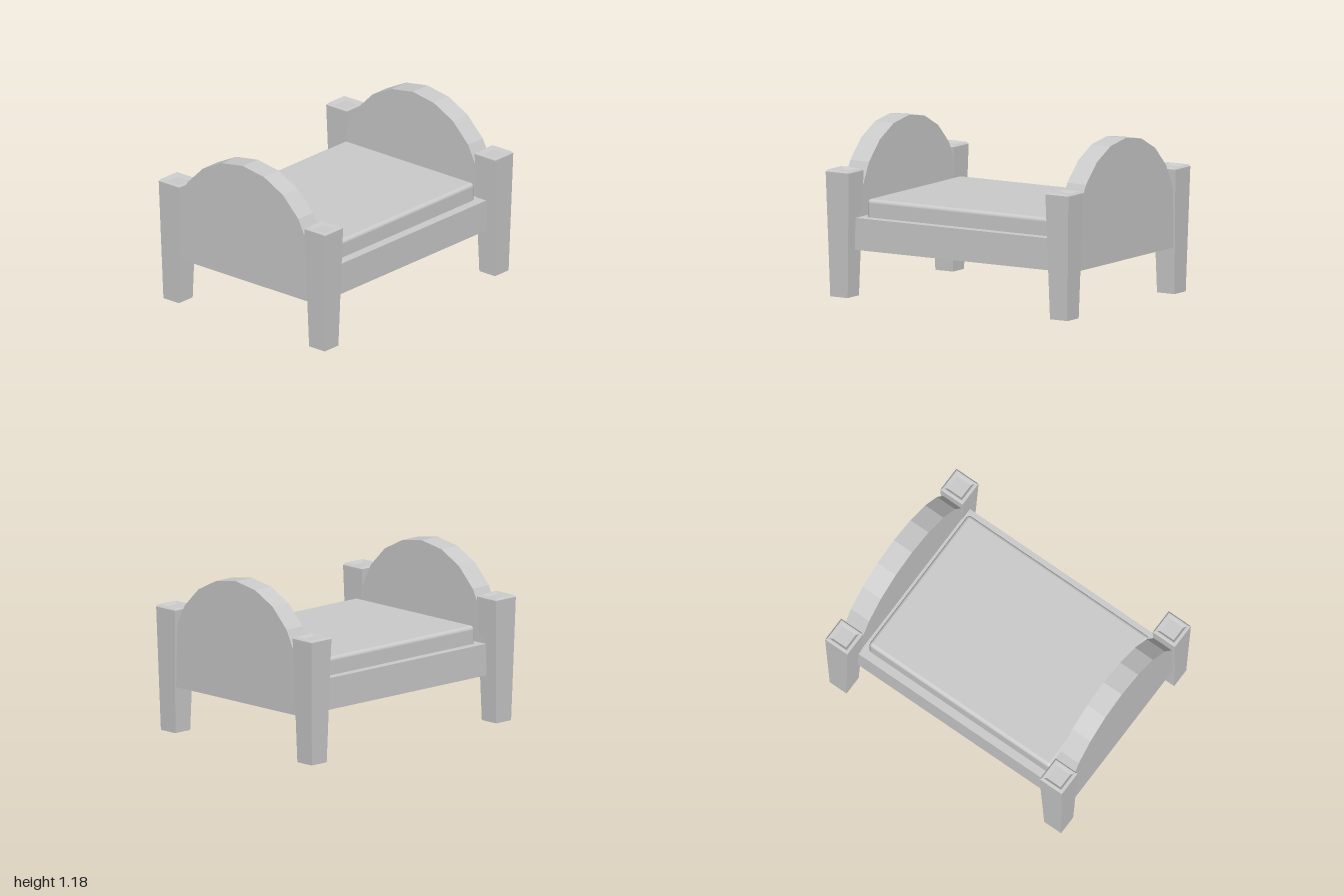
import * as THREE from 'three';
import { RoundedBoxGeometry } from 'three/addons/geometries/RoundedBoxGeometry.js';

const flat = new THREE.MeshStandardMaterial({ color: 0xcccccc, flatShading: true });
const smooth = new THREE.MeshStandardMaterial({ color: 0xcccccc });

export function createModel() {
  const bed = new THREE.Group();
  bed.name = 'bed';

  const add = (name, geometry, x, y, z, material = flat) => {
    const mesh = new THREE.Mesh(geometry, material);
    mesh.name = name;
    mesh.position.set(x, y, z);
    bed.add(mesh);
  };

  // Square tapered post with a chamfered rim and a shallow recessed top: [half width, height]
  const profile = [[0, 0], [0.072, 0], [0.095, 0.87], [0.095, 0.88], [0.084, 0.893],
    [0.075, 0.893], [0.057, 0.875], [0, 0.875]]
    .map(([half, y]) => new THREE.Vector2(half * Math.SQRT2, y));
  const post = new THREE.LatheGeometry(profile, 4, Math.PI / 4);
  add('backRightPost', post, -0.69, 0, -0.905);
  add('backLeftPost', post, 0.675, 0, -0.905);
  add('frontRightPost', post, -0.655, 0, 0.905);
  add('frontLeftPost', post, 0.685, 0, 0.905);

  // Arched end boards: straight lower part, faceted half circle above
  const radius = 0.63, spring = 0.555, bottom = 0.33, depth = 0.155;
  const arch = new THREE.Shape();
  arch.moveTo(-radius, bottom);
  arch.lineTo(radius, bottom);
  for (let i = 0; i <= 10; i++) {
    const a = (i / 10) * Math.PI;
    arch.lineTo(radius * Math.cos(a), spring + radius * Math.sin(a));
  }
  const board = new THREE.ExtrudeGeometry(arch, { depth, bevelEnabled: false });
  add('headboard', board, 0, 0, -0.977);
  add('footboard', board, 0, 0, 0.817);

  // Solid base between the boards
  add('base', new THREE.BoxGeometry(1.32, spring - bottom, 1.66), 0.02, (spring + bottom) / 2, 0);

  // Mattress with rounded edges, its lower edge sunk into the base
  add('mattress', new RoundedBoxGeometry(1.19, 0.18, 1.555, 4, 0.028), 0.015, 0.592, -0.003, smooth);

  return bed;
}
